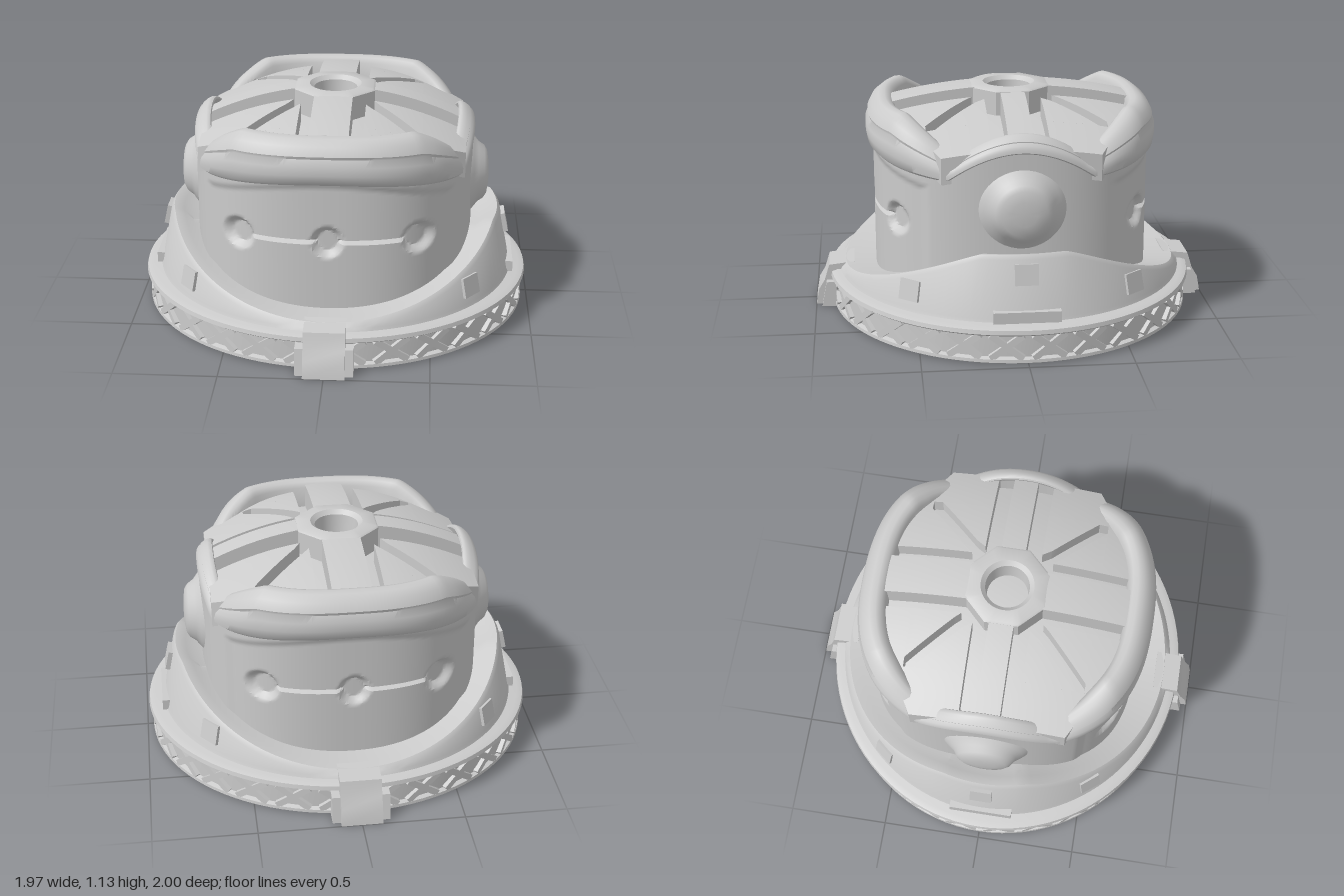
import * as THREE from 'three';
import { toCreasedNormals } from 'three/addons/utils/BufferGeometryUtils.js';

const { cos, sin, abs, PI, hypot, min, max } = Math;
const clamp01 = (v) => max(0, min(1, v));
const material = new THREE.MeshStandardMaterial({ color: 0xcccccc, side: THREE.DoubleSide });

function part(name, geometry, crease = 0.6) {
  const mesh = new THREE.Mesh(toCreasedNormals(geometry, crease), material);
  mesh.name = name;
  return mesh;
}

// Surface from closed rings: point(angle, row) gives [x, y, z]; rows run up the outside, then inwards
function loft(segments, rows, point) {
  const pos = [], index = [];
  for (let i = 0; i < segments; i++)
    for (let j = 0; j < rows; j++) pos.push(...point((i / segments) * 2 * PI, j));
  for (let i = 0; i < segments; i++)
    for (let j = 0; j < rows - 1; j++) {
      const a = i * rows + j, b = ((i + 1) % segments) * rows + j;
      index.push(a, a + 1, b, b, a + 1, b + 1);
    }
  const g = new THREE.BufferGeometry();
  g.setAttribute('position', new THREE.Float32BufferAttribute(pos, 3));
  g.setIndex(index);
  return g;
}

// Rounded-square footprint of the helmet, the crown's curvature and the brim's lower edge
const foot = (t) => ((abs(cos(t)) / 0.695) ** 2.5 + (abs(sin(t)) / 0.7) ** 2.5) ** -0.4;
const dome = (x, z) => 1.14 - 0.38 * x * x - 0.2 * z * z;
const brimLow = (x, z) => (abs(z) > 0.35 ? 0.86 - 0.14 * x * x : 0.94 - 0.14 * (z / 0.35) ** 2);

// Four-cornered plate bent over the crown; lift places its upper face
function slab(corners, lift, thick) {
  let c = corners, area = 0;
  c.forEach((p, i) => { const q = c[(i + 1) % 4]; area += p[0] * q[1] - q[0] * p[1]; });
  if (area < 0) c = [...c].reverse();
  const g = new THREE.BoxGeometry(1, 1, 1, 8, 1, 8), p = g.attributes.position;
  for (let i = 0; i < p.count; i++) {
    const u = p.getX(i) + 0.5, v = p.getZ(i) + 0.5;
    const mix = (k) => (1 - v) * ((1 - u) * c[0][k] + u * c[1][k]) + v * ((1 - u) * c[3][k] + u * c[2][k]);
    const x = mix(0), z = mix(1);
    p.setXYZ(i, x, dome(x, z) + lift + (p.getY(i) - 0.5) * thick, z);
  }
  return g;
}

function makeBase() {
  const base = new THREE.Group();
  base.name = 'base';
  // Disc with a shallow band between two rims
  const profile = [[0, 0], [0.95, 0], [0.97, 0.01], [0.968, 0.025], [0.945, 0.032], [0.945, 0.14],
    [0.97, 0.145], [0.985, 0.155], [0.98, 0.175], [0.95, 0.185], [0.6, 0.19]];
  base.add(part('baseDisc', loft(96, profile.length, (t, j) =>
    [profile[j][0] * cos(t), profile[j][1], profile[j][0] * sin(t)])));
  // Crossed lattice bars
  const bar = new THREE.BoxGeometry(0.2, 0.032, 0.04);
  const count = 28;
  for (let i = 0; i < count; i++)
    for (const s of [1, -1]) {
      const mesh = part('latticeBar', bar);
      const t = ((i + 0.5) / count) * 2 * PI;
      mesh.position.set(0.945 * sin(t), 0.086, 0.945 * cos(t));
      mesh.rotation.set(0, t, s * 0.62, 'YXZ');
      base.add(mesh);
    }
  base.scale.z = 0.94;
  return base;
}

// Height of the collar's edge: high at the sides, falling to a V at front and back
const collarTop = (t) => {
  const z = 0.87 * abs(sin(t));
  return 0.495 - 0.275 * clamp01((z - 0.22) / 0.65) ** 1.15;
};

function makeCollar() {
  const collar = new THREE.Group();
  collar.name = 'collar';
  collar.add(part('collarShell', loft(120, 7, (t, j) => {
    const top = collarTop(t);
    const k = (top - 0.2) / 0.3;
    const r = [0.92, 0.9, 0.9 - 0.055 * k, 0.88 - 0.05 * k, 0.82 - 0.04 * k, 0.74, 0.6][j];
    const y = [0.16, 0.2, top - 0.02, top, top - 0.015 * k, top - 0.05 * k, top - 0.07 * k][j];
    return [r * cos(t), y, 0.965 * r * sin(t)];
  })));
  // Raised clips around the collar
  for (const sx of [1, -1])
    for (const a of [0, 0.68, -0.68]) {
      const t = sx > 0 ? a : PI - a, top = collarTop(a);
      const r = 0.885 - 0.035 * (top - 0.2) / 0.3;
      const clip = part('collarClip', new THREE.BoxGeometry(0.06, 0.1, 0.11));
      clip.position.set(r * cos(t), top - 0.09, 0.965 * r * sin(t));
      clip.rotation.set(0, -t, 0.22, 'YXZ');
      collar.add(clip);
    }
  // Flat strip at the foot of each side
  for (const s of [1, -1]) {
    const strip = part('collarStrip', new THREE.BoxGeometry(0.06, 0.06, 0.32));
    strip.position.set(s * 0.885, 0.21, 0);
    collar.add(strip);
  }
  return collar;
}

// Helmet wall with sunken visor, three dished sockets and the slit joining them
function makeBody() {
  const rows = 67;
  return part('helmetBody', loft(360, rows, (t, j) => {
    let r = foot(t);
    const x = r * cos(t);
    const y = min(0.15 + 0.0125 * j, brimLow(x, r * sin(t)) + 0.03);
    r -= 0.012 * clamp01(min(0.6 - abs(x), 0.87 - 0.28 * x * x - y) / 0.03);
    const d = min(...[-0.44, 0, 0.44].map((cx) => hypot(x - cx, y - 0.5625)));
    const slit = abs(x) < 0.44 && abs(y - 0.5625) < 0.008;
    r -= max(slit ? 0.035 : 0, 0.035 * clamp01((0.082 - d) / 0.03));
    return [r * cos(t), y, r * sin(t)];
  }), 0.7);
}

// Padded brim: high over the visors, dipping at the corners, thin arches over the ears
function makeBrim() {
  const section = [[-0.06, 0], [0.0, 0], [0.017, 0.07], [0.024, 0.25], [0.023, 0.45], [0.008, 0.6],
    [0.012, 0.66], [-0.01, 0.85], [-0.045, 0.97], [-0.075, 1], [-0.1, 0.96], [-0.12, 0.85], [-0.125, 0.2]];
  return part('brim', loft(180, section.length, (t, j) => {
    const f = foot(t), x = f * cos(t), z = abs(f * sin(t));
    const [out, up] = section[j];
    const lo = brimLow(x, z);
    const hi = z > 0.33 ? min(1.08, 0.9 + (z - 0.33) * 0.67) : 1.025 - 0.125 * (z / 0.33) ** 2;
    const w = clamp01((z - 0.3) / 0.25);
    const r = f + out * (out > 0 ? 0.6 + 0.4 * w : 0.4 + 0.6 * w) - 0.035 * up * (1 - w);
    return [r * cos(t), lo + (hi - lo) * up, r * sin(t)];
  }), 0.7);
}

function makeCrown() {
  const crown = new THREE.Group();
  crown.name = 'crown';
  // Sunken floor below the ribs and panels
  crown.add(part('crownFloor', loft(96, 10, (t, j) => {
    const r = (foot(t) - 0.06) * (1 - max(0, j - 1) / 8);
    const x = r * cos(t), z = r * sin(t);
    return [x, j ? dome(x, z) - 0.13 : 0.8, z];
  })));
  for (const s of [1, -1]) {
    crown.add(part('sideRib', slab([[s * 0.15, -0.06], [s * 0.64, -0.06], [s * 0.64, 0.06], [s * 0.15, 0.06]], -0.008, 0.15)));
    crown.add(part('lengthRib', slab([[-0.095, s * 0.15], [0.095, s * 0.15], [0.095, s * 0.61], [-0.095, s * 0.61]], -0.008, 0.15)));
  }
  // Eight-sided hub with a round-bottomed opening
  const hub = [[0.215, -0.14], [0.215, -0.022], [0.205, -0.015], [0.13, -0.01], [0.108, -0.03], [0.1, -0.14]];
  crown.add(part('crownHub', loft(48, hub.length, (t, j) => {
    const side = ((t + PI / 8) % (PI / 4)) - PI / 8;
    const r = hub[j][0] * (j < 3 ? cos(PI / 8) / cos(side) : 1);
    return [r * cos(t), 1.14 + hub[j][1], r * sin(t)];
  })));
  // Four quarter panels, each split by a diagonal notch
  const quads = [
    [[0.2, 0.14], [0.44, 0.14], [0.44, 0.395], [0.23, 0.185]],
    [[0.44, 0.14], [0.65, 0.14], [0.65, 0.38], [0.44, 0.5]],
    [[0.16, 0.2], [0.16, 0.44], [0.395, 0.44], [0.185, 0.23]],
    [[0.16, 0.44], [0.44, 0.44], [0.44, 0.5], [0.16, 0.61]],
  ];
  for (const sx of [1, -1])
    for (const sz of [1, -1])
      for (const q of quads)
        crown.add(part('crownPanel', slab(q.map(([x, z]) => [sx * x, sz * z]), -0.035, 0.13)));
  return crown;
}

// Round ear boss with a soft skirt on each side
function makeEar(side) {
  const profile = [[0.21, 0], [0.185, 0.022], [0.155, 0.045], [0.135, 0.075], [0.11, 0.09], [0.06, 0.098], [0, 0.1]];
  const ear = part('earBoss', new THREE.LatheGeometry(profile.map(([r, y]) => new THREE.Vector2(r, y)), 40));
  ear.rotation.z = -side * PI / 2;
  ear.position.set(side * 0.68, 0.67, 0);
  return ear;
}

// Clasp over the base rim: sloped middle block with a lower flange on either side
function makeClasp() {
  const clasp = new THREE.Group();
  clasp.name = 'clasp';
  const block = (points, width) => {
    const shape = new THREE.Shape(points.map(([z, y]) => new THREE.Vector2(z, y)));
    const g = new THREE.ExtrudeGeometry(shape, { depth: width, bevelEnabled: false });
    return g.translate(0, 0, -width / 2).rotateY(-PI / 2);
  };
  clasp.add(part('claspBlock', block([[0.8, 0], [1, 0], [0.985, 0.08], [0.955, 0.13], [0.93, 0.21], [0.8, 0.225]], 0.2)));
  clasp.add(part('claspFlange', block([[0.8, 0], [0.97, 0], [0.945, 0.13], [0.8, 0.13]], 0.28)));
  return clasp;
}

export function createModel() {
  const model = new THREE.Group();
  model.name = 'helmetOnStand';
  model.add(makeBase(), makeCollar(), makeBody(), makeBrim(), makeCrown(), makeEar(1), makeEar(-1));
  const front = makeClasp(), back = makeClasp();
  back.rotation.y = PI;
  model.add(front, back);
  return model;
}
